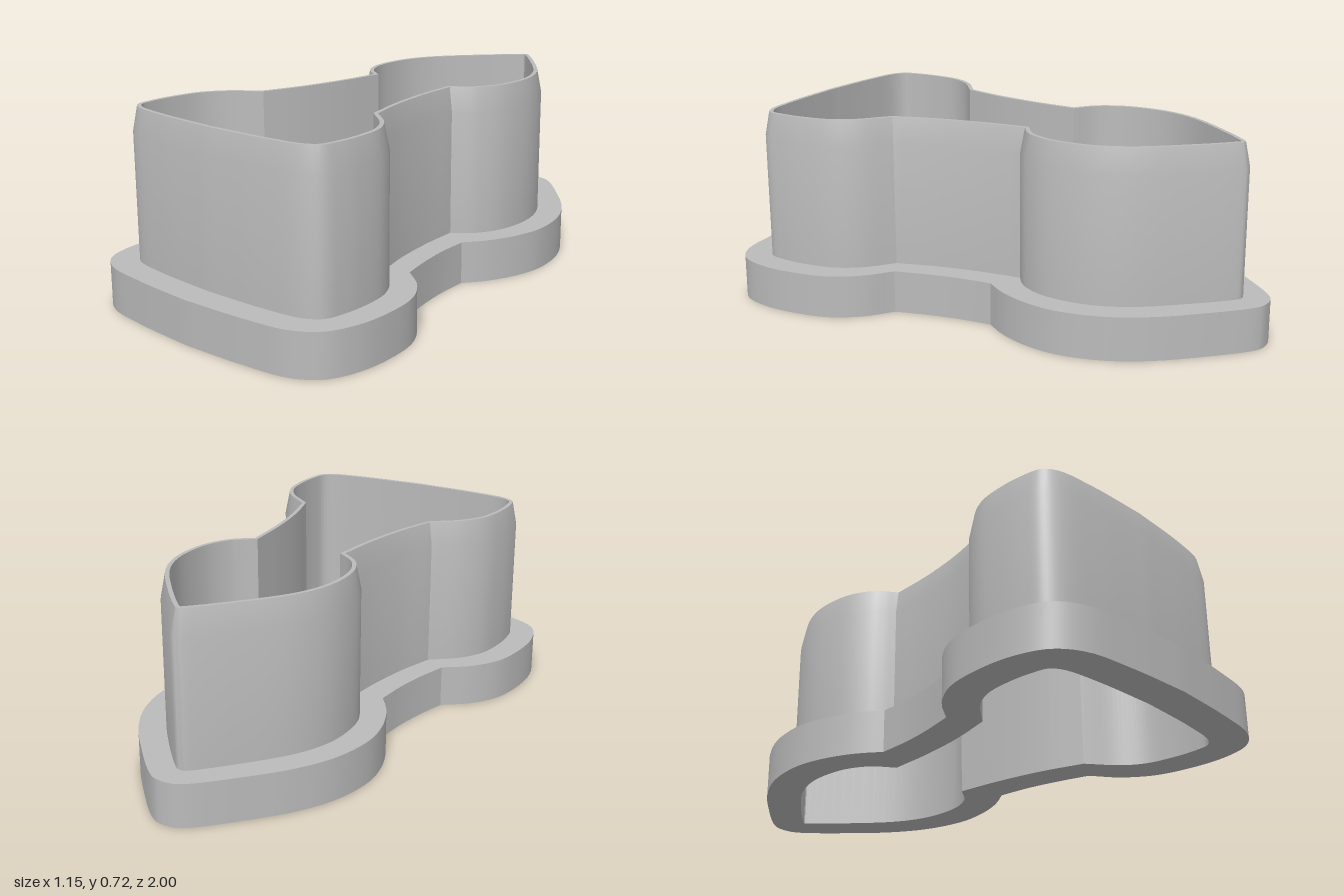
import * as THREE from 'three';
import { toCreasedNormals } from 'three/addons/utils/BufferGeometryUtils.js';

const STEPS = 24; // samples per curved section

// Right half outlines as [x, z], from the tip to the base, split at the sharp corners
const WALL = [
  [[0, -0.905], [0.015, -0.902], [0.028, -0.893], [0.14, -0.775], [0.27, -0.61], [0.322, -0.49],
    [0.335, -0.38], [0.322, -0.275], [0.28, -0.19], [0.245, -0.155], [0.207, -0.128]],
  [[0.207, -0.128], [0.222, 0.03], [0.255, 0.21], [0.298, 0.355]],
  [[0.298, 0.355], [0.4, 0.44], [0.455, 0.53], [0.475, 0.64], [0.475, 0.74], [0.459, 0.815],
    [0.405, 0.857], [0.25, 0.882], [0, 0.895]],
];
const FLANGE = [
  [[0, -1], [0.04, -0.994], [0.085, -0.965], [0.2, -0.85], [0.32, -0.71], [0.4, -0.565],
    [0.434, -0.4], [0.42, -0.28], [0.385, -0.18], [0.355, -0.125], [0.312, -0.065]],
  [[0.312, -0.065], [0.322, 0.06], [0.345, 0.185], [0.378, 0.31]],
  [[0.378, 0.31], [0.475, 0.385], [0.545, 0.49], [0.573, 0.62], [0.572, 0.77], [0.53, 0.89],
    [0.44, 0.955], [0.25, 0.985], [0, 1]],
];

// Smooth each section, then mirror to a closed loop
function makeLoop(sections) {
  const half = [];
  sections.forEach((pts, s) => {
    const curve = new THREE.CatmullRomCurve3(pts.map(([x, z]) => new THREE.Vector3(x, 0, z)));
    const samples = curve.getPoints(s === 1 ? STEPS / 2 : STEPS * 2);
    half.push(...(s ? samples.slice(1) : samples));
  });
  const mirrored = half.slice(1, -1).reverse().map((p) => new THREE.Vector3(-p.x, 0, p.z));
  return [...half, ...mirrored];
}

// Move a loop inward by d with mitred corners
function inset(loop, d) {
  const n = loop.length;
  const normal = (a, b) => new THREE.Vector3(b.z - a.z, 0, a.x - b.x).normalize();
  return loop.map((p, i) => {
    const n1 = normal(loop[(i + n - 1) % n], p);
    const n2 = normal(p, loop[(i + 1) % n]);
    const m = n1.clone().add(n2).normalize();
    return p.clone().addScaledVector(m, -d / Math.max(0.6, m.dot(n1)));
  });
}

// Skin a list of [loop, height] rings, ordered inside-bottom, outside, top, inside
function skin(rings) {
  const n = rings[0][0].length;
  const pos = [];
  const index = [];
  rings.forEach(([loop, y]) => loop.forEach((p) => pos.push(p.x, y, p.z)));
  for (let r = 0; r < rings.length - 1; r++) {
    for (let i = 0; i < n; i++) {
      const a = r * n + i;
      const a1 = r * n + ((i + 1) % n);
      index.push(a, a + n, a1, a1, a + n, a1 + n);
    }
  }
  const geo = new THREE.BufferGeometry();
  geo.setAttribute('position', new THREE.Float32BufferAttribute(pos, 3));
  geo.setIndex(index);
  return toCreasedNormals(geo, 0.45);
}

export function createModel() {
  const group = new THREE.Group();
  group.name = 'cookieCutter';
  const grey = new THREE.MeshStandardMaterial({ color: 0xbbbbbb });
  grey.name = 'grey plastic';

  const wall = makeLoop(WALL);
  const rim = inset(wall, 0.018);
  const inner = inset(wall, 0.033);
  const flange = makeLoop(FLANGE);

  const add = (name, rings) => {
    const mesh = new THREE.Mesh(skin(rings), grey);
    mesh.name = name;
    group.add(mesh);
  };

  // Broad grip flange around the foot
  add('flange', [[inner, 0], [flange, 0], [flange, 0.16], [wall, 0.16]]);
  // Thin cutting wall, tapered outside towards its edge, straight inside
  add('cuttingWall', [[wall, 0.16], [wall, 0.63], [rim, 0.72], [inner, 0.72], [inner, 0]]);

  return group;
}
